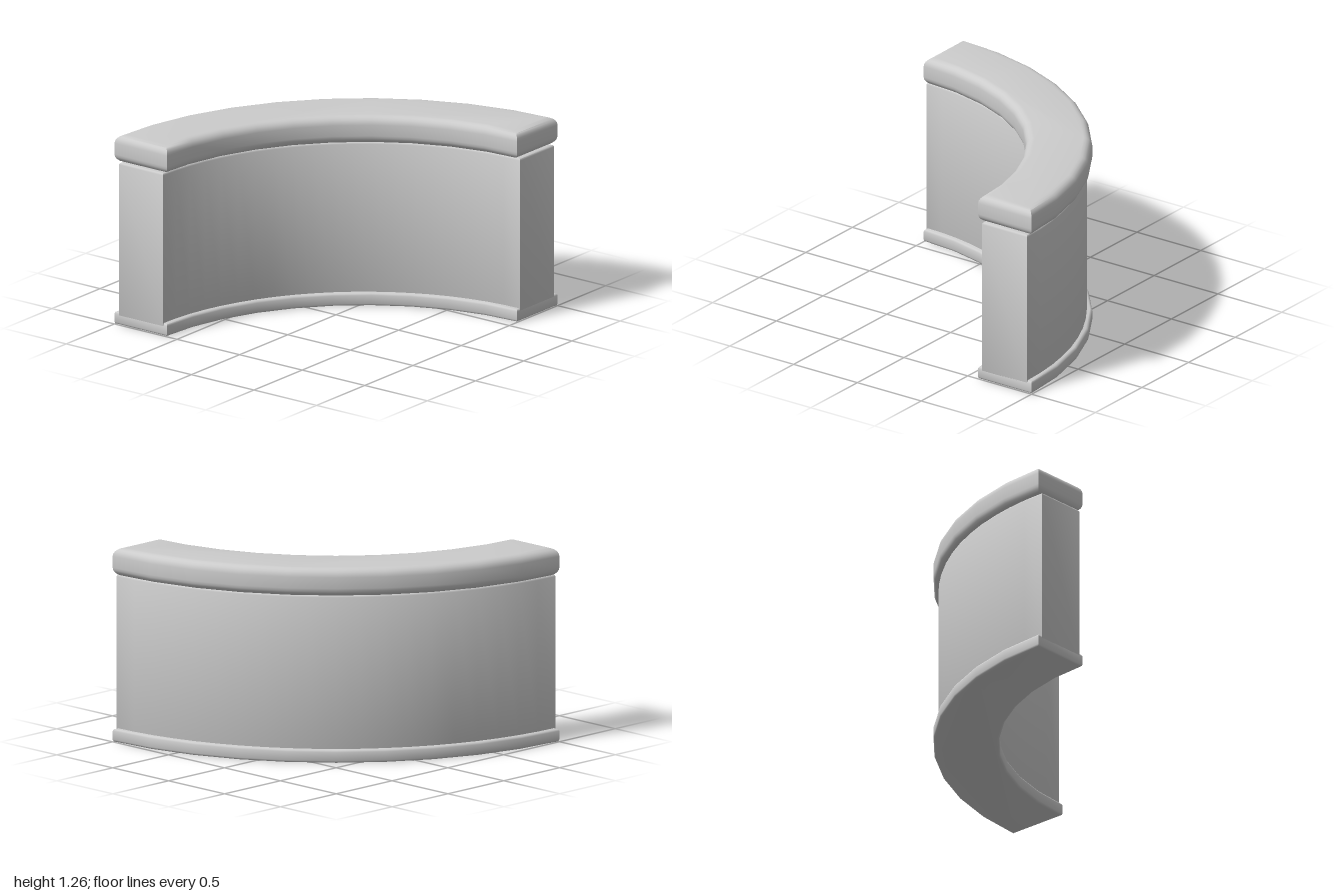
import * as THREE from 'three';
import { toCreasedNormals } from 'three/addons/utils/BufferGeometryUtils.js';

// Plan outline of a quarter ring centred on the corner x = -1, z = 1
function quarterRing(inner, outer, segments) {
  const points = [];
  const addArc = (radius, from, to) => {
    for (let i = 0; i <= segments; i++) {
      const a = THREE.MathUtils.lerp(from, to, i / segments);
      points.push(new THREE.Vector2(-1 + radius * Math.cos(a), -1 + radius * Math.sin(a)));
    }
  };
  addArc(outer, 0, Math.PI / 2);
  addArc(inner, Math.PI / 2, 0);
  return new THREE.Shape(points);
}

// Curved slab from y0 to y1 with rounded upper and lower edges
function curvedSlab(name, material, { inner, outer, segments, y0, y1, bevel, bevelHeight = bevel, steps }) {
  const geometry = new THREE.ExtrudeGeometry(quarterRing(inner, outer, segments), {
    depth: y1 - y0 - 2 * bevelHeight,
    bevelEnabled: true,
    bevelSize: bevel,
    bevelOffset: -bevel,
    bevelThickness: bevelHeight,
    bevelSegments: steps,
  });
  geometry.rotateX(-Math.PI / 2);
  geometry.translate(0, y0 + bevelHeight, 0);
  const mesh = new THREE.Mesh(toCreasedNormals(geometry, THREE.MathUtils.degToRad(50)), material);
  mesh.name = name;
  return mesh;
}

export function createModel() {
  const group = new THREE.Group();
  group.name = 'curvedCounter';
  const grey = new THREE.MeshStandardMaterial({ color: 0xcccccc });
  grey.name = 'light grey';

  group.add(
    // Plinth at the floor
    curvedSlab('plinth', grey, { inner: 1.58, outer: 2, segments: 10, y0: 0, y1: 0.085, bevel: 0.015, steps: 2 }),
    // Upright wall, its lower end set into the plinth
    curvedSlab('wall', grey, { inner: 1.61, outer: 1.965, segments: 20, y0: 0.05, y1: 1.085, bevel: 0.015, steps: 2 }),
    // Thick rounded worktop
    curvedSlab('worktop', grey, { inner: 1.58, outer: 2, segments: 10, y0: 1.08, y1: 1.262, bevel: 0.055, steps: 5 }),
  );
  return group;
}
